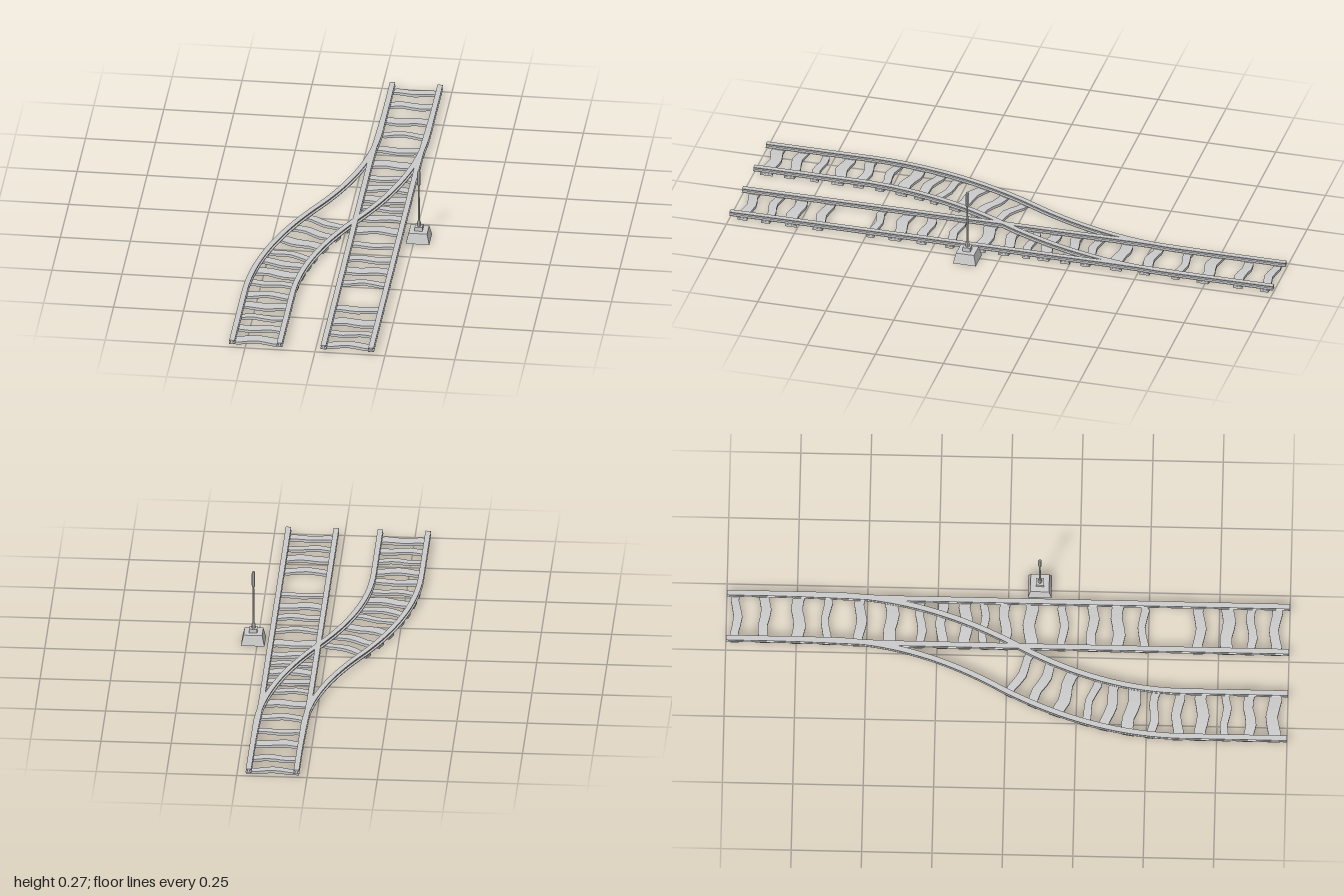
import * as THREE from 'three';
import { toCreasedNormals } from 'three/addons/utils/BufferGeometryUtils.js';

const GAUGE = 0.085; // half distance between rail centres

const smooth = new THREE.MeshStandardMaterial({ color: 0xcccccc });
const faceted = new THREE.MeshStandardMaterial({ color: 0xcccccc, flatShading: true });

// Centre lines of the two tracks: x as a function of z
function mainLine(z) {
  const t = THREE.MathUtils.clamp((-0.35 - z) / 0.5, 0, 1);
  return 0.115 + 0.008 * t * t * (3 - 2 * t);
}
function branchLine(z) {
  const t = THREE.MathUtils.clamp(z / 0.63, -1, 1);
  const s = Math.sign(t) * (1 - (1 - Math.abs(t)) ** 2);
  return -0.0445 - 0.1675 * s;
}

// Point at sideways distance `side` from a track centre line
function onTrack(line, z, side) {
  const slope = (line(z + 0.002) - line(z - 0.002)) / 0.004;
  const len = Math.hypot(1, slope);
  return { x: line(z) + side / len, z: z - (side * slope) / len, angle: Math.atan(slope) };
}

function addMesh(parent, name, geometry, material) {
  const mesh = new THREE.Mesh(geometry, material);
  mesh.name = name;
  parent.add(mesh);
  return mesh;
}

// I-section rail, extruded straight and then bent along the track
function railGeometry(line, side) {
  const half = [[0.0105, 0.0125], [0.0105, 0.015], [0.004, 0.017], [0.004, 0.0235], [0.0095, 0.0245], [0.0095, 0.028]];
  const outline = [
    ...half.map(([x, y]) => new THREE.Vector2(x, y)),
    ...half.slice().reverse().map(([x, y]) => new THREE.Vector2(-x, y)),
  ];
  const geometry = new THREE.ExtrudeGeometry(new THREE.Shape(outline), { depth: 2, steps: 64, bevelEnabled: false });
  const p = geometry.attributes.position;
  for (let i = 0; i < p.count; i++) {
    const q = onTrack(line, p.getZ(i) - 1, side + p.getX(i));
    p.setXYZ(i, q.x, p.getY(i), q.z);
  }
  return toCreasedNormals(geometry, 0.4);
}

// Warped plank: slightly crowned with wavy long edges
function sleeperGeometry(width, phase) {
  const geometry = new THREE.BoxGeometry(0.186, 0.01, width, 6, 1, 1);
  const p = geometry.attributes.position;
  for (let i = 0; i < p.count; i++) {
    const u = p.getX(i) / 0.093;
    const top = p.getY(i) > 0;
    const wave = 0.007 * Math.sin(u * 4.2 + phase) * (p.getZ(i) > 0 ? 1 : 0.8);
    p.setY(i, top ? 0.0125 - 0.004 * u * u : 0.002 * (1 - u * u));
    p.setZ(i, p.getZ(i) + wave);
  }
  return geometry;
}

function buildTrack(name, line, sleeperZ) {
  const track = new THREE.Group();
  track.name = name;
  for (const s of [-1, 1]) {
    addMesh(track, s > 0 ? 'leftRail' : 'rightRail', railGeometry(line, s * GAUGE), smooth);
  }
  const widths = [0.03, 0.035, 0.042, 0.028, 0.036, 0.044];
  sleeperZ.forEach((z, i) => {
    const sleeper = new THREE.Group();
    sleeper.name = 'sleeper';
    const width = widths[i % widths.length];
    const q = onTrack(line, z, 0);
    sleeper.position.set(q.x, 0, q.z);
    sleeper.rotation.y = q.angle;
    addMesh(sleeper, 'plank', sleeperGeometry(width, [1.6, 0.3, 2.8, -1.5][i % 4]), faceted);
    // Seats carrying the rails
    for (const s of [-1, 1]) {
      const seat = addMesh(sleeper, 'railSeat', new THREE.BoxGeometry(0.014, 0.013, width * 0.7), faceted);
      seat.position.set(s * GAUGE, 0.0065, 0);
    }
    track.add(sleeper);
  });
  return track;
}

// Square block with independent bottom and top widths
function frustum(bottom, top, height) {
  return new THREE.CylinderGeometry(top / Math.SQRT2, bottom / Math.SQRT2, height, 4)
    .rotateY(Math.PI / 4)
    .translate(0, height / 2, 0);
}

function buildLever() {
  const lever = new THREE.Group();
  lever.name = 'switchLever';
  addMesh(lever, 'leverBase', frustum(0.084, 0.066, 0.038), faceted);
  addMesh(lever, 'leverBlock', frustum(0.028, 0.028, 0.015), faceted).position.y = 0.038;
  // Collar, rod and grip share one turned profile
  const profile = [
    [0, 0.053], [0.0075, 0.053], [0.0075, 0.066], [0.0035, 0.076], [0.003, 0.212],
    [0.0065, 0.219], [0.0065, 0.266], [0.004, 0.274], [0, 0.274],
  ].map(([r, y]) => new THREE.Vector2(r, y));
  addMesh(lever, 'leverHandle', new THREE.LatheGeometry(profile, 8, Math.PI / 8), faceted);
  lever.position.set(0.265, 0, 0.11);
  return lever;
}

export function createModel() {
  const model = new THREE.Group();
  model.name = 'railSwitch';
  model.add(buildTrack('mainTrack', mainLine, [
    -0.965, -0.865, -0.745, -0.645, -0.525, -0.415, -0.31, -0.235, -0.15, -0.085,
    -0.01, 0.08, 0.195, 0.3, 0.39, 0.48, 0.68, 0.78, 0.865, 0.95,
  ]));
  model.add(buildTrack('branchTrack', branchLine, [
    0.05, 0.125, 0.21, 0.3, 0.37, 0.445, 0.525, 0.61, 0.695, 0.78, 0.865, 0.95,
  ]));
  model.add(buildLever());
  return model;
}
